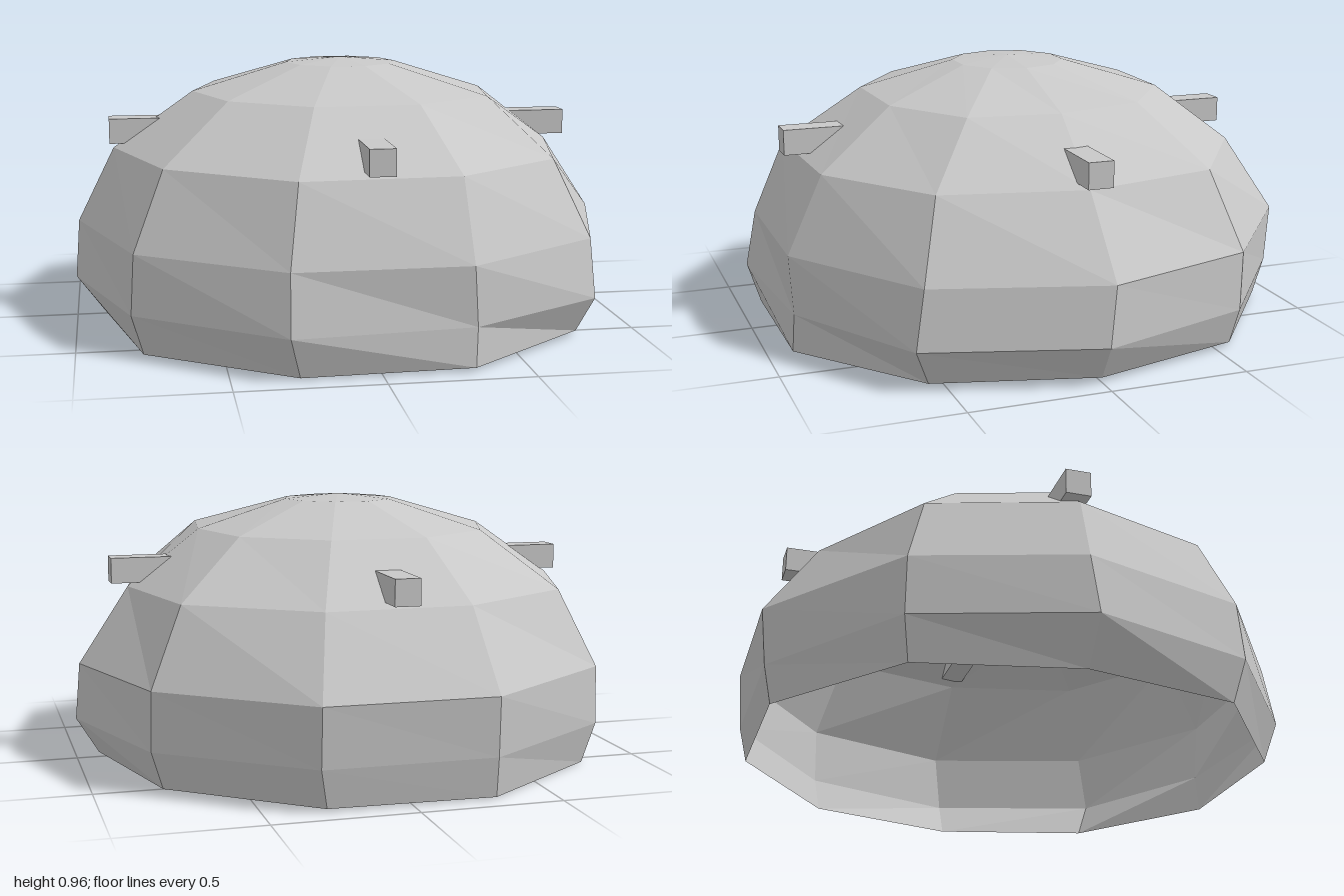
import * as THREE from 'three';

const SIDES = 10;

// Rings from the open rim to the crown: height, radius, shift along z,
// and nudges [corner, dx, dz] that make the shell slightly irregular
const RINGS = [
  { y: 0.01, r: 0.95, dz: 0.0, nudges: [[0, -0.03, 0], [5, 0.06, 0], [2, 0.02, 0.01], [3, 0.02, 0.01], [7, 0, -0.015], [8, 0, -0.015]] },
  { y: 0.15, r: 1.0, dz: 0.005, nudges: [[1, 0.01, 0.02], [2, 0.01, -0.05], [9, 0, 0.01], [7, 0.02, 0], [8, 0.01, 0]] },
  { y: 0.36, r: 0.985, dz: -0.02, nudges: [[1, 0.01, 0.02], [4, 0, 0.02], [6, -0.01, 0.02], [9, 0.01, 0.02], [7, 0.02, -0.01], [8, 0.015, -0.005]] },
  { y: 0.635, r: 0.85, dz: 0.0, nudges: [[0, -0.05, 0], [2, 0.03, -0.02], [7, 0.01, 0.03], [8, 0, 0.02]] },
  { y: 0.84, r: 0.555, dz: -0.003, nudges: [[0, -0.02, 0], [1, 0.04, 0], [2, 0.03, -0.01]] },
  { y: 0.943, r: 0.205, dz: 0.0, nudges: [] },
];

function ringPoints({ y, r, dz, nudges }, level) {
  const points = [];
  for (let k = 0; k < SIDES; k++) {
    const a = (k / SIDES) * Math.PI * 2;
    points.push(new THREE.Vector3(r * Math.cos(a), y, r * Math.sin(a) + dz));
  }
  for (const [k, dx, z] of nudges) {
    points[k].x += dx;
    points[k].z += z;
  }
  // The rim is very slightly tilted
  if (level === 0) for (const p of points) p.y += 0.01 * p.x;
  return points;
}

// Hollow faceted dome, open underneath
function shellGeometry() {
  const rings = RINGS.map(ringPoints);
  const apex = new THREE.Vector3(0, 0.96, 0);
  const corners = [];
  for (let i = 0; i < rings.length; i++) {
    for (let k = 0; k < SIDES; k++) {
      const n = (k + 1) % SIDES;
      const a = rings[i][k], b = rings[i][n];
      if (i === rings.length - 1) {
        corners.push(a, apex, b);
        continue;
      }
      const c = rings[i + 1][n], d = rings[i + 1][k];
      corners.push(a, d, c, a, c, b);
    }
  }
  const geometry = new THREE.BufferGeometry().setFromPoints(corners);
  geometry.computeVertexNormals();
  return geometry;
}

export function createModel() {
  const group = new THREE.Group();
  group.name = 'domeShelter';

  const grey = new THREE.MeshStandardMaterial({
    color: 0xc8c8c8, flatShading: true, side: THREE.DoubleSide,
  });
  grey.name = 'light grey';

  const shell = new THREE.Mesh(shellGeometry(), grey);
  shell.name = 'domeShell';
  group.add(shell);

  // Two crossing beams whose ends stick out through the shell
  const beamGeometry = new THREE.BoxGeometry(1.73, 0.092, 0.09);
  for (const [name, turn] of [['sideBeam', 0], ['frontBackBeam', Math.PI / 2]]) {
    const beam = new THREE.Mesh(beamGeometry, grey);
    beam.name = name;
    beam.position.set(turn ? 0.005 : 0, 0.7, turn ? 0 : -0.01);
    beam.rotation.y = turn;
    group.add(beam);
  }
  return group;
}
